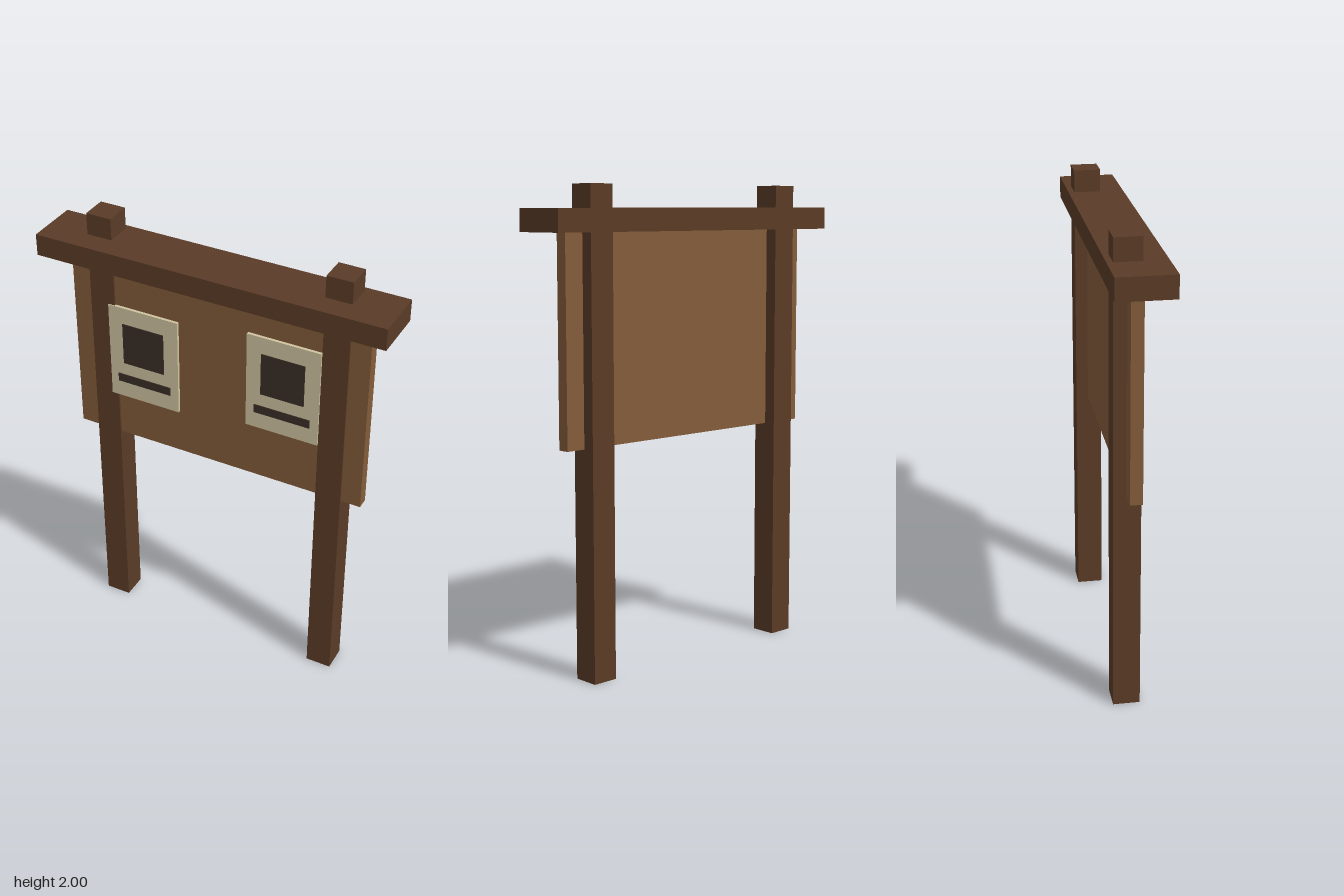
import * as THREE from 'three';

const material = (color) => new THREE.MeshStandardMaterial({ color, flatShading: true });

// Box given by its minimum and maximum corners
function box(name, mat, [x0, y0, z0], [x1, y1, z1]) {
  const mesh = new THREE.Mesh(new THREE.BoxGeometry(x1 - x0, y1 - y0, z1 - z0), mat);
  mesh.position.set((x0 + x1) / 2, (y0 + y1) / 2, (z0 + z1) / 2);
  mesh.name = name;
  return mesh;
}

export function createModel() {
  const darkWood = material(0x5a3b26);
  const boardWood = material(0x845c3a);
  const paper = material(0xcfc4a0);
  const ink = material(0x3a2e25);

  const model = new THREE.Group();
  model.name = 'noticeBoard';

  // Two upright posts, set slightly behind the centre line
  for (const [name, x] of [['rightPost', -0.525], ['leftPost', 0.522]]) {
    model.add(box(name, darkWood, [x - 0.056, 0, -0.093], [x + 0.056, 2, 0.019]));
  }

  // Board between the posts and the wide cap beam over it
  model.add(box('board', boardWood, [-0.667, 0.957, -0.041], [0.664, 1.82, 0.01]));
  model.add(box('capBeam', darkWood, [-0.763, 1.813, -0.118], [0.76, 1.906, 0.118]));

  // Paper notices, each with a printed picture and a line below it
  function notice(name, x, y) {
    const group = new THREE.Group();
    group.name = name;
    group.add(
      box('paper', paper, [-0.162, -0.22, 0.01], [0.162, 0.22, 0.023]),
      box('picture', ink, [-0.096, -0.048, 0.02], [0.096, 0.144, 0.027]),
      box('textLine', ink, [-0.125, -0.145, 0.02], [0.125, -0.107, 0.027]),
    );
    group.position.set(x, y, 0);
    return group;
  }
  model.add(notice('rightNotice', -0.336, 1.383), notice('leftNotice', 0.303, 1.431));

  return model;
}
